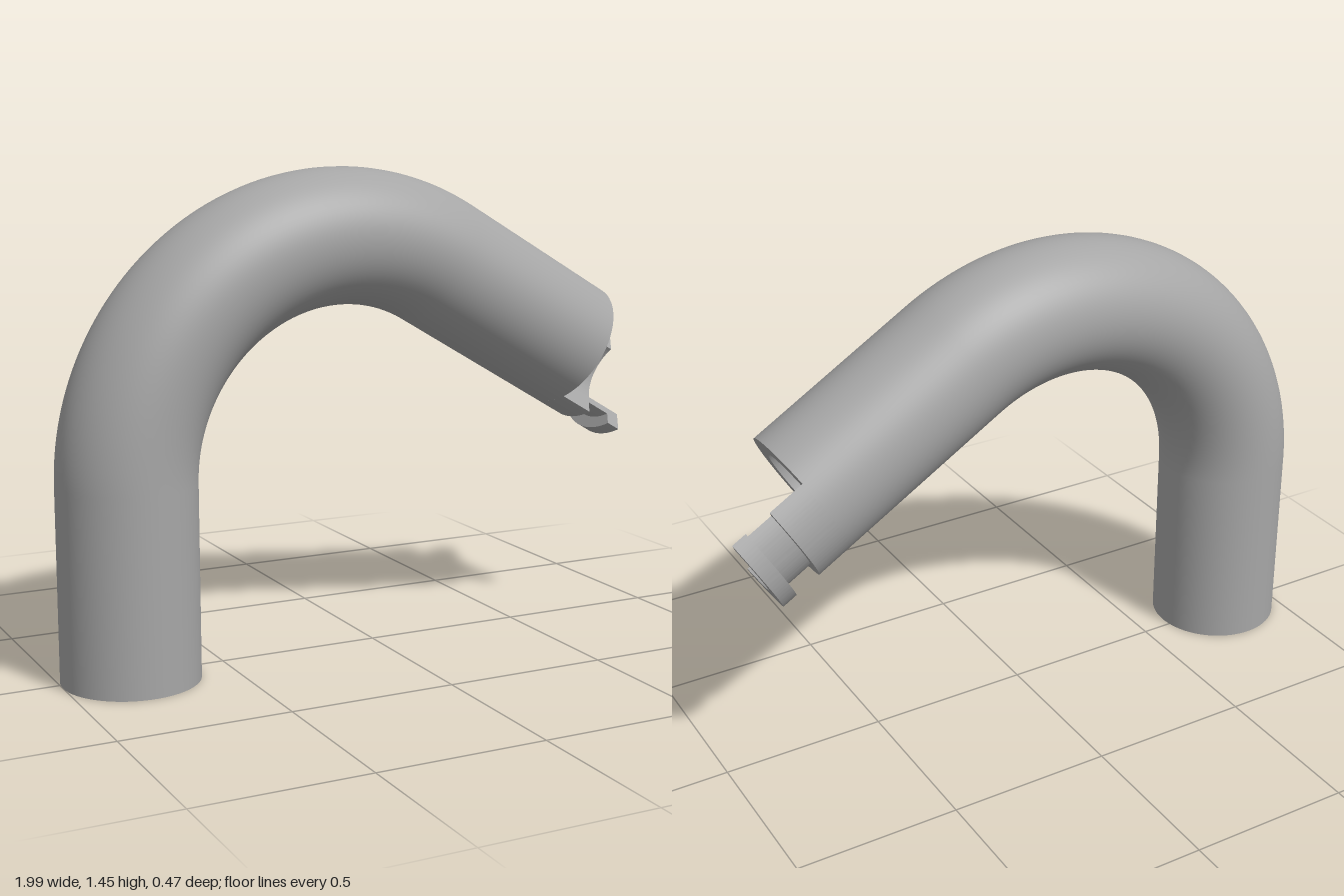
import * as THREE from 'three';
import { toCreasedNormals } from 'three/addons/utils/BufferGeometryUtils.js';

const OUTER = 0.203, INNER = 0.142, GROOVE = 0.165;
const RISE = 0.575, BEND = 0.677, ANGLE = Math.PI * 2 / 3, RUN = 0.571;

// Centre line: straight leg, 120 degree bend, straight arm
class PipePath extends THREE.Curve {
  getPoint(t, target = new THREE.Vector3()) {
    const arc = BEND * ANGLE;
    const s = t * (RISE + arc + RUN);
    if (s < RISE) return target.set(0, s, 0);
    const a = Math.min((s - RISE) / BEND, ANGLE);
    const rest = Math.max(0, s - RISE - arc);
    return target.set(
      BEND * (1 - Math.cos(a)) + rest * Math.sin(a),
      RISE + BEND * Math.sin(a) + rest * Math.cos(a), 0);
  }
}

// Turns a surface inside out, for the bore
function flip(geometry) {
  const index = geometry.index;
  for (let i = 0; i < index.count; i += 3) {
    const a = index.getX(i);
    index.setX(i, index.getX(i + 2));
    index.setX(i + 2, a);
  }
  const n = geometry.attributes.normal;
  for (let i = 0; i < n.count; i++) n.setXYZ(i, -n.getX(i), -n.getY(i), -n.getZ(i));
  return geometry;
}

// Part of a ring cut by a plane just off the axis, extruded along z
function halfRing(radius, start, end) {
  const mid = -40.5 * Math.PI / 180, offset = 0.0286;
  const ho = Math.acos(offset / radius), hi = Math.acos(offset / INNER);
  const shape = new THREE.Shape();
  shape.absarc(0, 0, radius, mid - ho, mid + ho, false);
  shape.absarc(0, 0, INNER, mid + hi, mid - hi, true);
  shape.closePath();
  const geometry = new THREE.ExtrudeGeometry(shape,
    { depth: end - start, bevelEnabled: false, curveSegments: 48 });
  geometry.translate(0, 0, start);
  return toCreasedNormals(geometry, 0.5);
}

export function createModel() {
  const model = new THREE.Group();
  model.name = 'bentPipe';
  const grey = new THREE.MeshStandardMaterial({ color: 0xa6a6a6 });
  grey.name = 'grey';
  const add = (parent, name, geometry) => {
    const mesh = new THREE.Mesh(geometry, grey);
    mesh.name = name;
    parent.add(mesh);
    return mesh;
  };

  // The pipe's plane is turned slightly about the upright leg
  const pipe = new THREE.Group();
  pipe.name = 'pipe';
  pipe.position.set(-0.797, 0, 0.031);
  pipe.rotation.y = 0.0349;
  model.add(pipe);

  const path = new PipePath();
  add(pipe, 'outerWall', new THREE.TubeGeometry(path, 120, OUTER, 72, false));
  add(pipe, 'bore', flip(new THREE.TubeGeometry(path, 120, INNER, 72, false)));
  const ring = new THREE.RingGeometry(INNER, OUTER, 72);
  add(pipe, 'bottomRim', ring).rotation.x = Math.PI / 2;

  // Arm end: z runs along the axis, y is up across the face
  const end = new THREE.Group();
  end.name = 'armEnd';
  end.position.copy(path.getPoint(1));
  end.rotation.set(0, Math.PI / 2, -Math.PI / 6, 'ZYX');
  pipe.add(end);
  add(end, 'armRim', ring);

  // Half-round coupling: shoulder, groove, locking lip
  add(end, 'couplingShoulder', halfRing(OUTER, 0, 0.117));
  add(end, 'couplingGroove', halfRing(GROOVE, 0.117, 0.202));
  add(end, 'couplingLip', halfRing(OUTER, 0.202, 0.25));
  return model;
}
